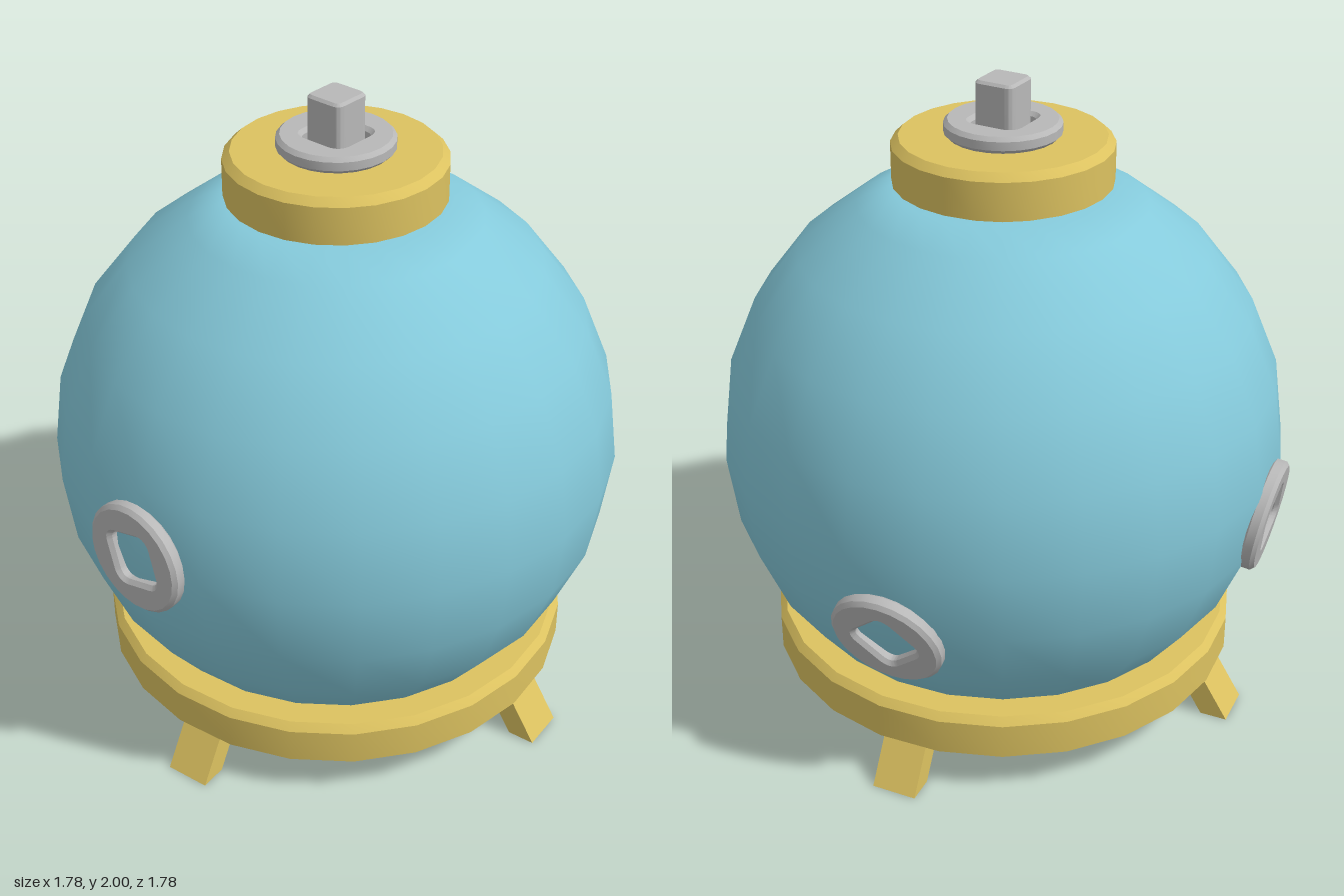
import * as THREE from 'three';
import { toCreasedNormals } from 'three/addons/utils/BufferGeometryUtils.js';

const CENTRE = new THREE.Vector3(-0.008, 0.865, 0.015);
const RADIUS = 0.875;

function material(name, color) {
  const m = new THREE.MeshStandardMaterial({ color });
  m.name = name;
  return m;
}

function named(name, geometry, mat) {
  const mesh = new THREE.Mesh(geometry, mat);
  mesh.name = name;
  return mesh;
}

const lathe = (points) =>
  new THREE.LatheGeometry(points.map(([r, y]) => new THREE.Vector2(r, y)), 24);

// Square with rounded corners, h = half width, c = corner radius
function roundedSquare(path, h, c) {
  path.moveTo(h - c, -h);
  path.quadraticCurveTo(h, -h, h, -h + c);
  path.lineTo(h, h - c);
  path.quadraticCurveTo(h, h, h - c, h);
  path.lineTo(-h + c, h);
  path.quadraticCurveTo(-h, h, -h, h - c);
  path.lineTo(-h, -h + c);
  path.quadraticCurveTo(-h, -h, -h + c, -h);
  path.closePath();
  return path;
}

// Bevelled extrusion whose outline and total depth stay as given
function bevelled(shape, depth, bevel) {
  const g = new THREE.ExtrudeGeometry(shape, {
    depth: depth - 2 * bevel, curveSegments: 12, bevelEnabled: true,
    bevelSize: bevel, bevelThickness: bevel, bevelOffset: -bevel, bevelSegments: 1,
  });
  g.translate(0, 0, bevel);
  return toCreasedNormals(g, 0.5);
}

export function createModel() {
  const model = new THREE.Group();
  const blue = material('light blue', 0x85cadb);
  const brass = material('brass', 0xdcc260);
  const grey = material('grey metal', 0xb8b8b8);
  const body = new THREE.Group();
  body.name = 'body';
  body.position.set(CENTRE.x, 0, CENTRE.z);
  model.add(body);

  // Round tank with flattened poles
  const profile = [[0, 0.055], [0.328, 0.055]];
  for (let a = -60; a <= 60; a += 15) {
    const t = THREE.MathUtils.degToRad(a);
    profile.push([RADIUS * Math.cos(t), CENTRE.y + RADIUS * Math.sin(t)]);
  }
  profile.push([0.328, 1.675], [0, 1.675]);
  body.add(named('tank', lathe(profile), blue));

  // Base ring with a bevelled upper edge
  body.add(named('baseRing', toCreasedNormals(lathe([
    [0.635, 0.14], [0.743, 0.14], [0.743, 0.252], [0.722, 0.275], [0.635, 0.275], [0.635, 0.14],
  ]), 0.5), brass));

  // Four splayed legs
  const legShape = new THREE.Shape([
    new THREE.Vector2(0.725, 0), new THREE.Vector2(0.81, 0),
    new THREE.Vector2(0.68, 0.21), new THREE.Vector2(0.595, 0.21),
  ]);
  const legGeometry = new THREE.ExtrudeGeometry(legShape, { depth: 0.14, bevelEnabled: false });
  legGeometry.translate(0, 0, -0.07);
  for (let i = 0; i < 4; i++) {
    const leg = named('leg', legGeometry, brass);
    leg.rotation.y = THREE.MathUtils.degToRad(6 + 90 * i);
    body.add(leg);
  }

  // Top collar on a narrow neck
  body.add(named('collar', toCreasedNormals(lathe([
    [0, 1.67], [0.29, 1.67], [0.29, 1.693], [0.33, 1.693],
    [0.33, 1.808], [0.307, 1.83], [0, 1.83],
  ]), 0.5), brass));

  // Washer with a rounded square hole, used on top and on the sides
  const washerShape = new THREE.Shape();
  washerShape.absarc(0, 0, 0.175, 0, Math.PI * 2, false);
  washerShape.holes.push(roundedSquare(new THREE.Path(), 0.078, 0.035));
  const washerGeometry = bevelled(washerShape, 0.05, 0.012);

  const topWasher = named('topWasher', washerGeometry, grey);
  topWasher.rotation.x = -Math.PI / 2;
  topWasher.position.y = 1.83;
  body.add(topWasher);

  // Square peg through the top washer
  const peg = named('peg', bevelled(roundedSquare(new THREE.Shape(), 0.064, 0.025), 0.18, 0.008), grey);
  peg.rotation.x = -Math.PI / 2;
  peg.position.y = 1.82;
  body.add(peg);

  // Side washers: outward direction and turn of the hole
  const ports = [
    ['rightPort', [-1, 0, 0], 15],
    ['leftPort', [0.94, -0.325, -0.105], 42],
    ['backPort', [-0.145, -0.16, -0.975], 20],
  ];
  for (const [name, dir, turn] of ports) {
    const d = new THREE.Vector3(...dir).normalize();
    const port = named(name, washerGeometry, grey);
    port.lookAt(d);
    port.rotateZ(THREE.MathUtils.degToRad(turn));
    port.position.set(0, CENTRE.y, 0).addScaledVector(d, 0.84);
    body.add(port);
  }
  return model;
}
